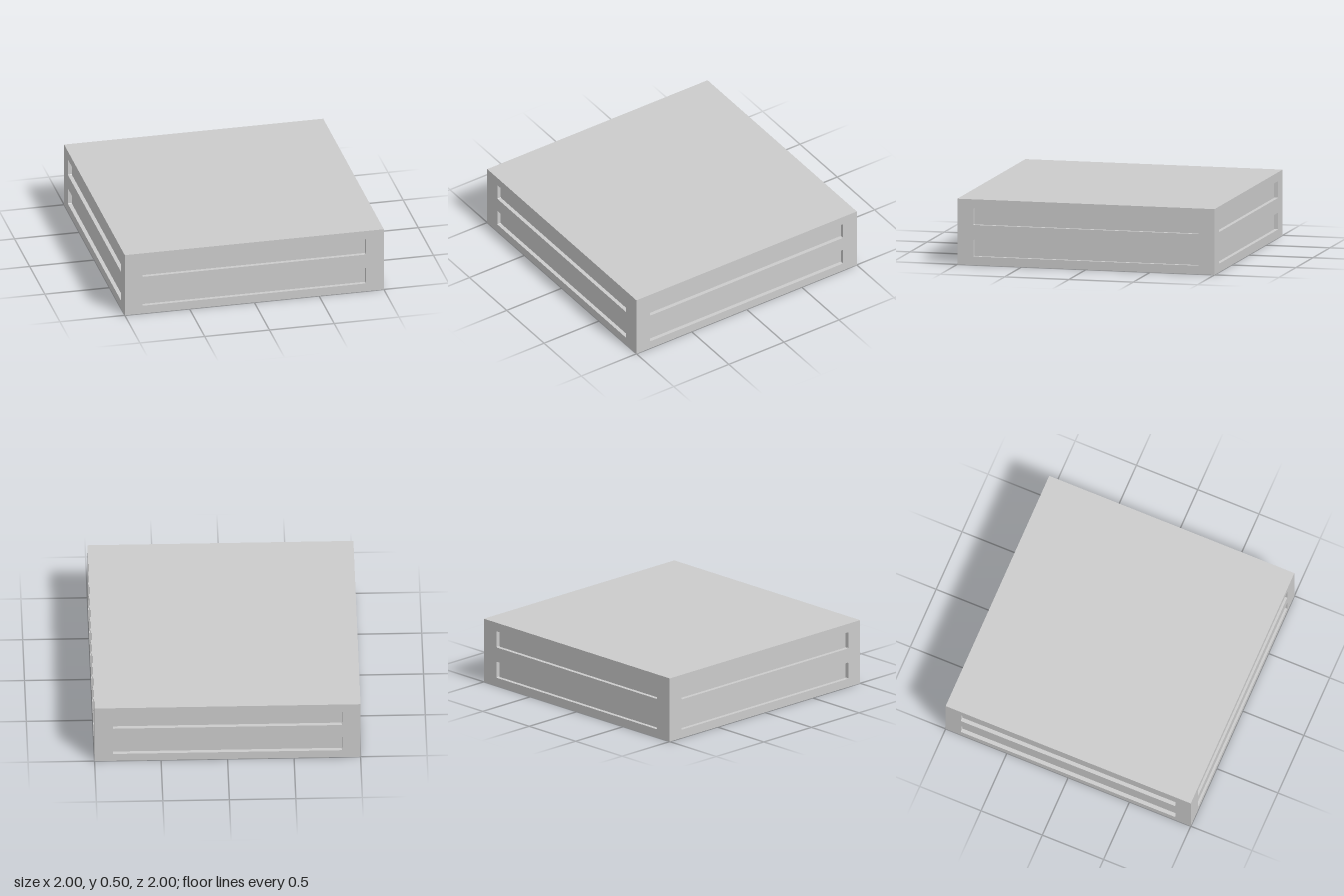
import * as THREE from 'three';

const HEIGHT = 0.5, HALF = 1, DEPTH = 0.03;
const SLOTS = [[0.065, 0.193], [0.305, 0.433]]; // bottom and top of each recess
const material = new THREE.MeshStandardMaterial({ color: 0xcccccc });

function add(parent, name, geometry) {
  const mesh = new THREE.Mesh(geometry, material);
  mesh.name = name;
  parent.add(mesh);
  return mesh;
}

// Counter-clockwise slot outline with slightly eased corners
function slotPoints(halfWidth, y0, y1, r) {
  const corners = [[1, y0, -1], [1, y1, 1], [-1, y1, 1], [-1, y0, -1]];
  const points = [];
  corners.forEach(([sx, y, sy], i) => {
    const x = sx * halfWidth;
    const onSide = new THREE.Vector2(x, y - sy * r);
    const onEdge = new THREE.Vector2(x - sx * r, y);
    points.push(...(i % 2 ? [onSide, onEdge] : [onEdge, onSide]));
  });
  return points;
}

// Inward-facing walls running from the outline back to the recess floor
function wallGeometry(points) {
  const v = [];
  points.forEach((a, i) => {
    const b = points[(i + 1) % points.length];
    v.push(a.x, a.y, 0, b.x, b.y, 0, a.x, a.y, -DEPTH);
    v.push(b.x, b.y, 0, b.x, b.y, -DEPTH, a.x, a.y, -DEPTH);
  });
  const geometry = new THREE.BufferGeometry();
  geometry.setAttribute('position', new THREE.Float32BufferAttribute(v, 3));
  geometry.computeVertexNormals();
  return geometry;
}

// One side of the slab: a pierced face with two shallow recesses behind it
function sidePanel(name, halfWidth) {
  const panel = new THREE.Group();
  panel.name = name;
  const face = new THREE.Shape([
    new THREE.Vector2(-HALF, 0), new THREE.Vector2(HALF, 0),
    new THREE.Vector2(HALF, HEIGHT), new THREE.Vector2(-HALF, HEIGHT),
  ]);
  for (const [y0, y1] of SLOTS) {
    const points = slotPoints(halfWidth, y0, y1, 0.004);
    face.holes.push(new THREE.Path(points));
    add(panel, 'recessWalls', wallGeometry(points));
    add(panel, 'recessFloor', new THREE.ShapeGeometry(new THREE.Shape(points))).position.z = -DEPTH;
  }
  add(panel, 'sideFace', new THREE.ShapeGeometry(face));
  return panel;
}

export function createModel() {
  const model = new THREE.Group();
  model.name = 'recessedSlab';

  // Plain top and bottom
  const top = add(model, 'top', new THREE.PlaneGeometry(2 * HALF, 2 * HALF));
  top.rotation.x = -Math.PI / 2;
  top.position.y = HEIGHT;
  const bottom = add(model, 'bottom', new THREE.PlaneGeometry(2 * HALF, 2 * HALF));
  bottom.rotation.x = Math.PI / 2;

  // Four recessed sides
  ['frontPanel', 'leftPanel', 'backPanel', 'rightPanel'].forEach((name, i) => {
    const panel = sidePanel(name, i % 2 ? 0.875 : 0.863);
    const angle = i * Math.PI / 2;
    panel.rotation.y = angle;
    panel.position.set(Math.sin(angle) * HALF, 0, Math.cos(angle) * HALF);
    model.add(panel);
  });
  return model;
}
